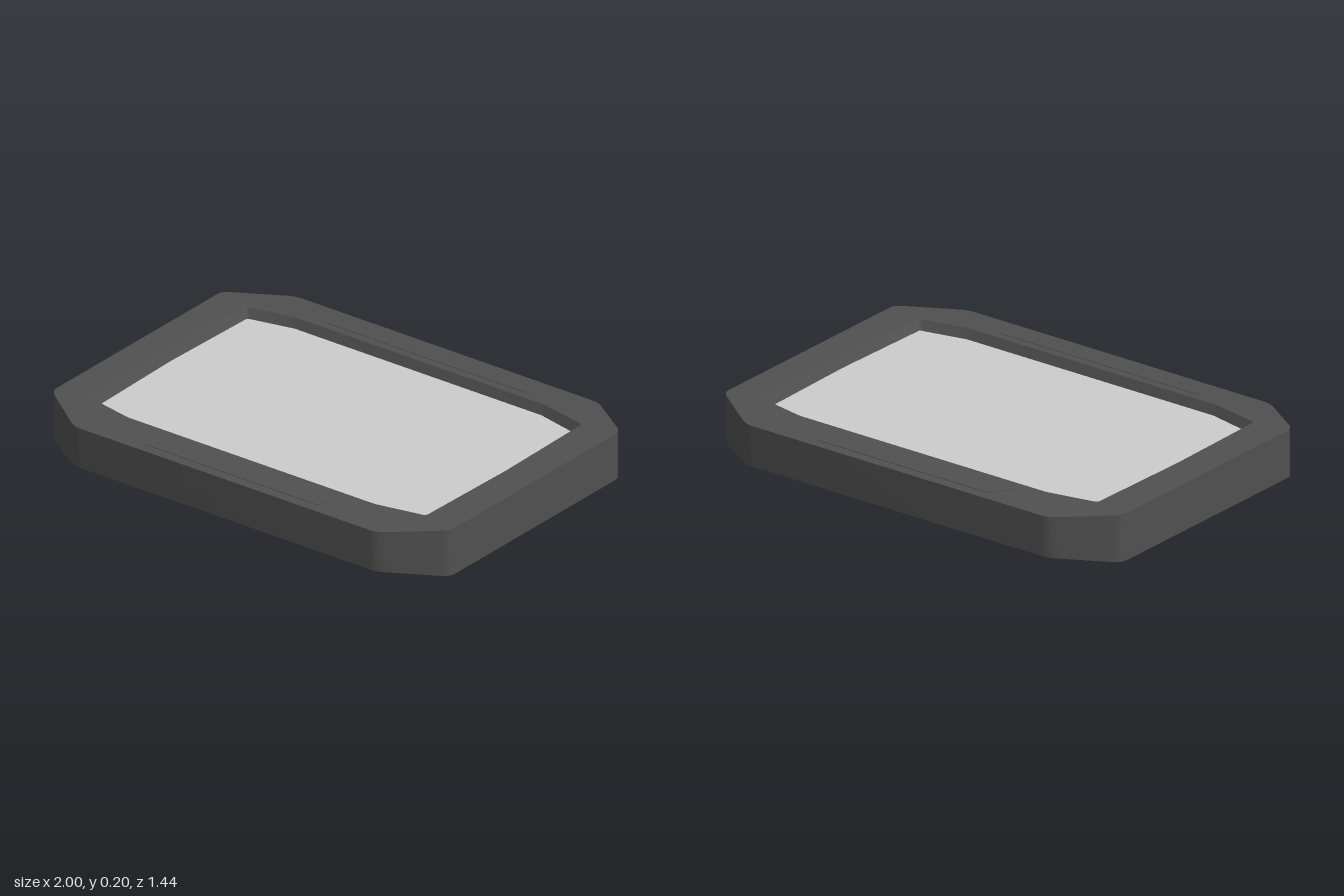
import * as THREE from 'three';
import { toCreasedNormals } from 'three/addons/utils/BufferGeometryUtils.js';

const EDGE = 0.55, HALF_DEPTH = 0.72, TOP = 0.205, DROP = 0.015;
// The long edges thin slightly beyond |z| = EDGE.
const slope = (z) => DROP * Math.max(0, (Math.abs(z) - EDGE) / (HALF_DEPTH - EDGE));

// Symmetric outline: side middle, two corners per quadrant, every corner rounded by r.
function outline(mid, [ax, az], [bx, bz], r) {
  const pts = [
    [mid, 0], [ax, az], [bx, bz], [-bx, bz], [-ax, az],
    [-mid, 0], [-ax, -az], [-bx, -bz], [bx, -bz], [ax, -az],
  ].map(([x, z]) => new THREE.Vector2(x, z));
  const n = pts.length;
  return pts.flatMap((p, i) => {
    const toward = (q) => p.clone().add(q.clone().sub(p).setLength(r));
    const curve = new THREE.QuadraticBezierCurve(
      toward(pts[(i + n - 1) % n]), p, toward(pts[(i + 1) % n]));
    return curve.getPoints(4);
  });
}

const ring = (pts, height) => pts.map((p) => new THREE.Vector3(p.x, height(p.y), p.y));
const point = (n, x, y, z) => Array.from({ length: n }, () => new THREE.Vector3(x, y, z));

// Joins successive rings with quads, leaving out collapsed triangles.
function loft(rings, crease = 0.3) {
  const verts = [];
  const tri = (a, b, c) => {
    if (new THREE.Triangle(a, b, c).getArea() > 1e-9) verts.push(a, b, c);
  };
  for (let k = 0; k + 1 < rings.length; k++) {
    const low = rings[k], high = rings[k + 1], n = low.length;
    for (let i = 0; i < n; i++) {
      const j = (i + 1) % n;
      tri(low[i], high[i], high[j]);
      tri(low[i], high[j], low[j]);
    }
  }
  return toCreasedNormals(new THREE.BufferGeometry().setFromPoints(verts), crease);
}

export function createModel() {
  const group = new THREE.Group();
  const dark = new THREE.MeshStandardMaterial({ color: 0x505050 });
  const grey = new THREE.MeshStandardMaterial({ color: 0xcccccc });
  const add = (name, geometry, material) => {
    const mesh = new THREE.Mesh(geometry, material);
    mesh.name = name;
    group.add(mesh);
    return mesh;
  };

  const outer = outline(1, [1, EDGE], [0.76, HALF_DEPTH], 0.035);
  const flat = outer.map((p) => new THREE.Vector2(p.x, THREE.MathUtils.clamp(p.y, -EDGE, EDGE)));
  const opening = outline(0.853, [0.843, 0.505], [0.62, EDGE], 0.015);
  const inner = outline(0.835, [0.823, 0.487], [0.62, 0.532], 0.008);
  const screenY = 0.165;
  const n = outer.length;

  // Casing: underside, outer wall, rim and the sloping wall of the recess
  add('casing', loft([
    point(n, 0, 0, 0),
    ring(flat, () => 0),
    ring(outer, slope),
    ring(outer, (z) => TOP - slope(z)),
    ring(flat, () => TOP),
    ring(opening, () => TOP),
    ring(inner, () => screenY),
  ]), dark);

  // Recessed display panel
  add('screen', loft([ring(inner, () => screenY), point(n, 0, screenY, 0)]), grey);

  // Thin trapezoid panels on the front and back of the rim
  const trapezoid = [[0.5, 0.592], [0.43, 0.68], [-0.43, 0.68], [-0.5, 0.592]]
    .map(([x, z]) => new THREE.Vector2(x, z));
  const plateTop = (z) => TOP - slope(z) + 0.002;
  const plate = loft([
    ring(trapezoid, (z) => plateTop(z) - 0.006),
    ring(trapezoid, plateTop),
    point(4, 0, plateTop(0.636), 0.636),
  ]);
  add('frontRimPanel', plate, dark);
  add('backRimPanel', plate, dark).rotation.y = Math.PI;

  return group;
}
